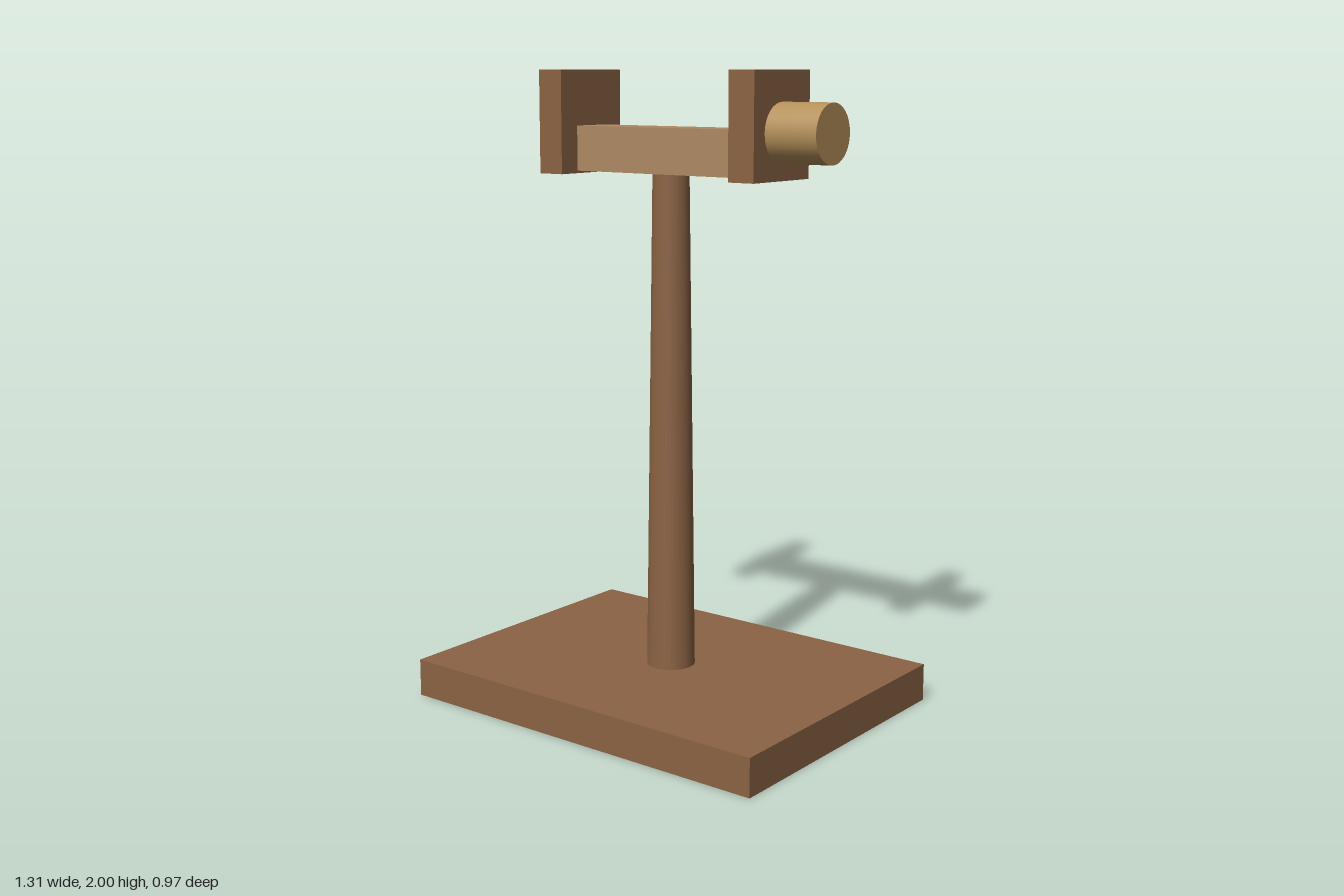
import * as THREE from 'three';

export function createModel() {
  const model = new THREE.Group();
  const darkWood = new THREE.MeshStandardMaterial({ color: 0x8b6344 });
  const lightWood = new THREE.MeshStandardMaterial({ color: 0xae8962 });
  const brass = new THREE.MeshStandardMaterial({ color: 0xb5915a });

  function add(name, geometry, material, x, y, z = 0) {
    const mesh = new THREE.Mesh(geometry, material);
    mesh.name = name;
    mesh.position.set(x, y, z);
    model.add(mesh);
    return mesh;
  }

  // Rectangular foot and tapered post
  add('base', new THREE.BoxGeometry(1.31, 0.12, 0.966), darkWood, 0, 0.06);
  add('post', new THREE.CylinderGeometry(0.057, 0.077, 1.57, 32), darkWood, 0, 0.905);

  // Crossbeam held between two upright end plates
  add('crossbeam', new THREE.BoxGeometry(0.64, 0.14, 0.136), lightWood, 0, 1.758);
  for (const [name, side] of [['leftEndPlate', 1], ['rightEndPlate', -1]]) {
    add(name, new THREE.BoxGeometry(0.09, 0.32, 0.284), darkWood, side * 0.364, 1.84);
  }

  // Round knob on the left end plate
  const knob = add('knob', new THREE.CylinderGeometry(0.089, 0.089, 0.176, 32), brass, 0.496, 1.82);
  knob.rotation.z = -Math.PI / 2;

  return model;
}
